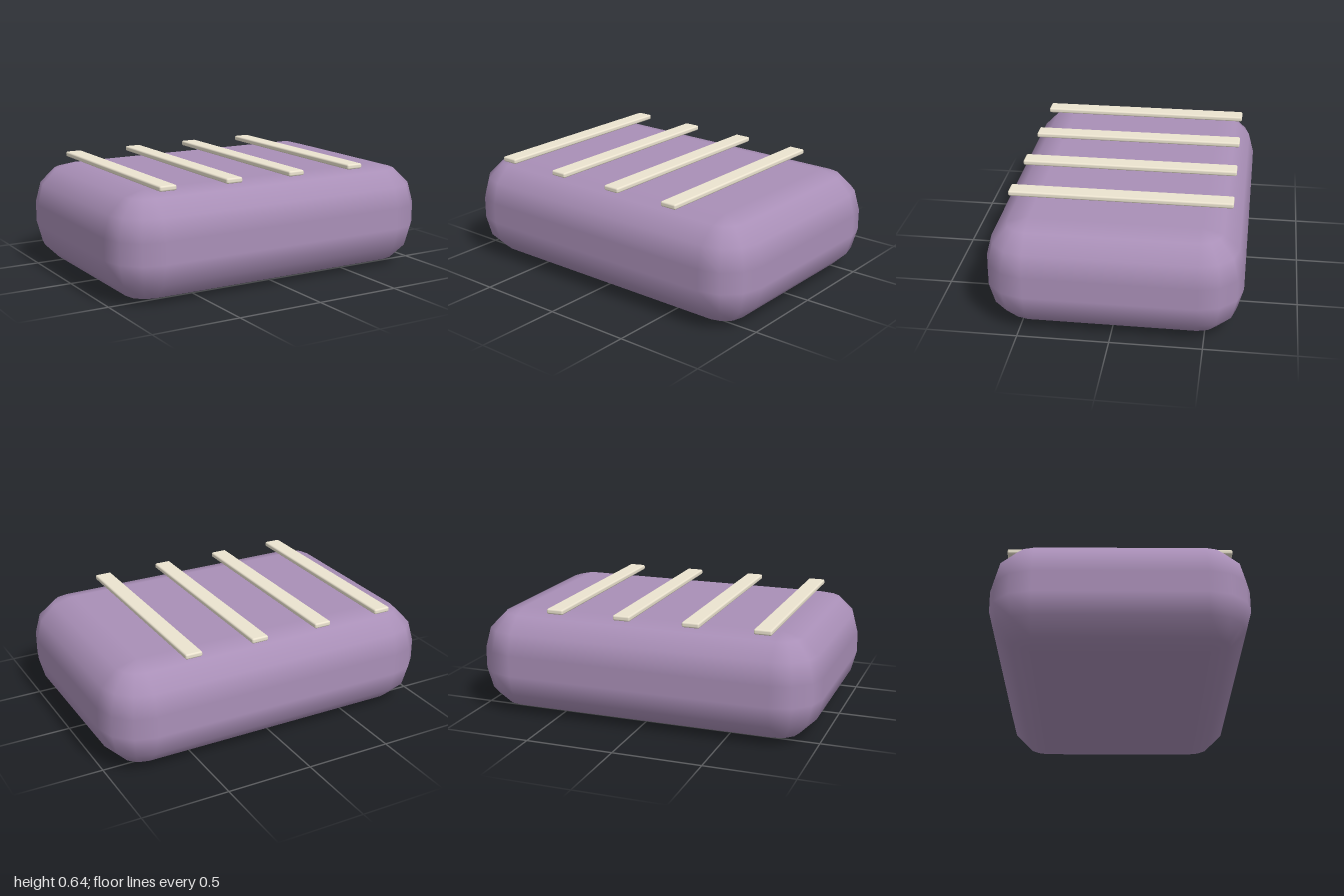
import * as THREE from 'three';

const STEPS = 3; // facets per rounded quarter turn

// Box with spherical corners: a sphere split into eight octants that are pushed apart.
function roundedBlock(width, height, depth, radius) {
  const positions = [], normals = [], index = [];
  const cols = 4 * (STEPS + 1), rows = 2 * (STEPS + 1);
  const inner = new THREE.Vector3(width / 2 - radius, height / 2 - radius, depth / 2 - radius);
  for (let i = 0; i < rows; i++) {
    const half = Math.floor(i / (STEPS + 1));
    const theta = (half + (i % (STEPS + 1)) / STEPS) * Math.PI / 2;
    for (let j = 0; j < cols; j++) {
      const quarter = Math.floor(j / (STEPS + 1));
      const phi = (quarter + (j % (STEPS + 1)) / STEPS) * Math.PI / 2;
      const n = new THREE.Vector3(
        Math.sin(theta) * Math.cos(phi), Math.cos(theta), Math.sin(theta) * Math.sin(phi));
      const sx = quarter === 0 || quarter === 3 ? 1 : -1;
      const sy = half === 0 ? 1 : -1;
      const sz = quarter < 2 ? 1 : -1;
      normals.push(n.x, n.y, n.z);
      positions.push(
        sx * inner.x + n.x * radius, sy * inner.y + n.y * radius, sz * inner.z + n.z * radius);
    }
  }
  // Sides, rounded edges and corners
  for (let i = 0; i < rows - 1; i++) {
    for (let j = 0; j < cols; j++) {
      const a = i * cols + j, b = i * cols + (j + 1) % cols;
      const c = a + cols, d = b + cols;
      index.push(a, b, c, b, d, c);
    }
  }
  // Flat top and bottom between the four corner poles
  const q = STEPS + 1, base = (rows - 1) * cols;
  index.push(0, 3 * q, 2 * q, 0, 2 * q, q);
  index.push(base, base + q, base + 2 * q, base, base + 2 * q, base + 3 * q);

  const geometry = new THREE.BufferGeometry();
  geometry.setAttribute('position', new THREE.Float32BufferAttribute(positions, 3));
  geometry.setAttribute('normal', new THREE.Float32BufferAttribute(normals, 3));
  geometry.setIndex(index);
  return geometry;
}

export function createModel() {
  const group = new THREE.Group();
  group.name = 'slattedCushion';

  // Soft body
  const body = new THREE.Mesh(
    roundedBlock(2, 0.6, 1.4, 0.24),
    new THREE.MeshStandardMaterial({ color: 0xa98fb7 }));
  body.name = 'cushion';
  body.position.y = 0.3;
  group.add(body);

  // Four slats lying across the top
  const slatGeometry = roundedBlock(0.1, 0.03, 1.24, 0.01);
  const slatMaterial = new THREE.MeshStandardMaterial({ color: 0xece4d0 });
  for (let i = 0; i < 4; i++) {
    const slat = new THREE.Mesh(slatGeometry, slatMaterial);
    slat.name = `slat${i + 1}`;
    slat.position.set(-0.7 + i * 0.4, 0.623, 0);
    group.add(slat);
  }
  return group;
}
